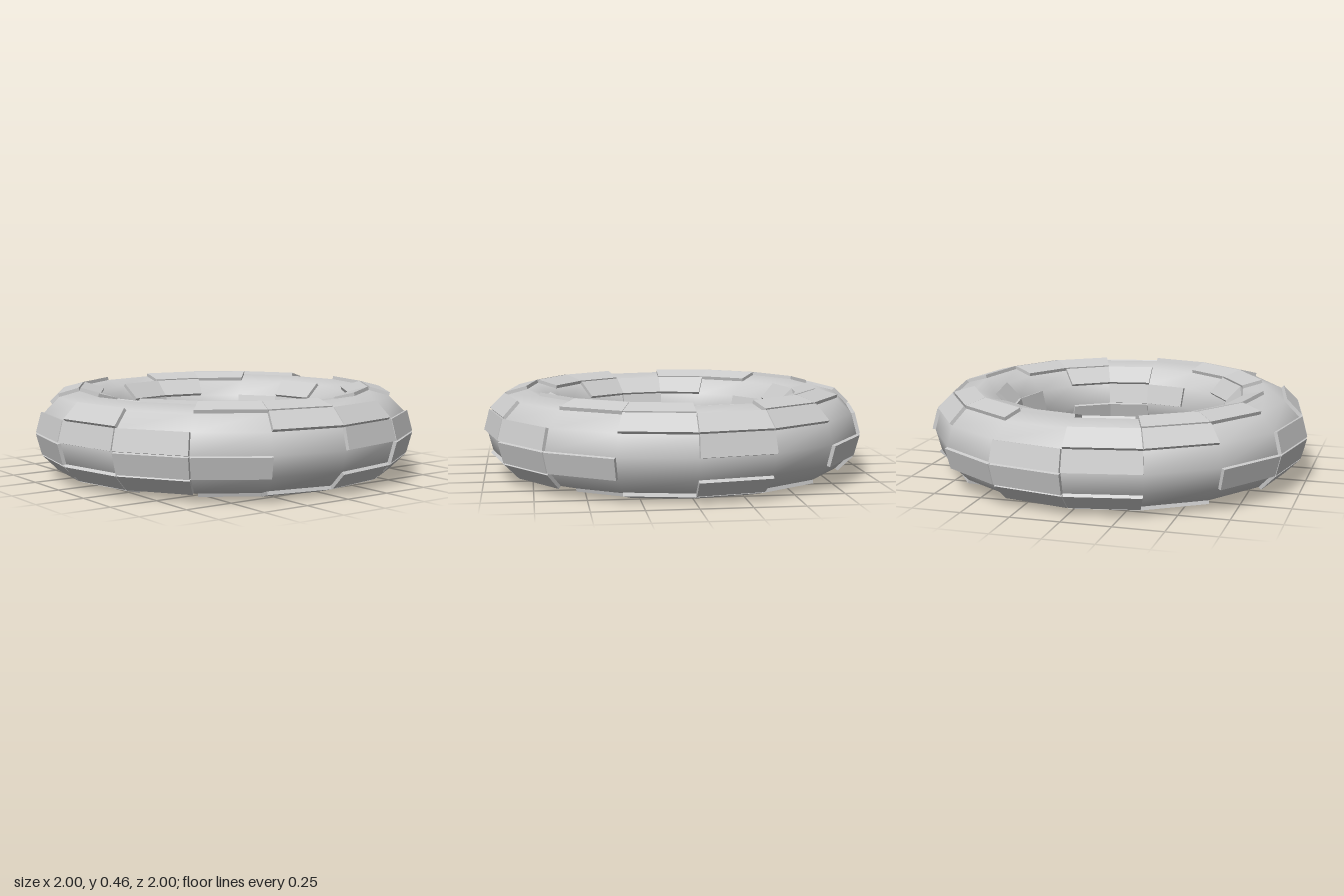
import * as THREE from 'three';
import { mergeGeometries } from 'three/addons/utils/BufferGeometryUtils.js';

const R = 0.77, r = 0.213, T = 0.018;   // ring radius, tube radius, panel thickness
const N = 16, M = 12;                   // segments around the ring and the tube
const MID = 0.23;                       // height of the ring's centre line

// Corner of the ring's grid: i counts around the ring, j around the tube.
function corner(i, j) {
  const u = (i / N) * Math.PI * 2, v = (j / M) * Math.PI * 2;
  const d = R + r * Math.cos(v);
  return new THREE.Vector3(d * Math.cos(u), MID + r * Math.sin(v), d * Math.sin(u));
}

// Flat plate standing on one grid cell, raised along the cell's normal.
function panel(i, j) {
  const low = [corner(i, j), corner(i, j + 1), corner(i + 1, j + 1), corner(i + 1, j)];
  const normal = low[2].clone().sub(low[0]).cross(low[3].clone().sub(low[1])).normalize();
  const high = low.map((p) => p.clone().addScaledVector(normal, T));
  const points = [];
  const quad = (a, b, c, d) => [a, b, c, a, c, d].forEach((p) => points.push(p));
  quad(...high);
  for (let k = 0; k < 4; k++) {
    const n = (k + 1) % 4;
    quad(low[k], low[n], high[n], high[k]);
  }
  const geometry = new THREE.BufferGeometry().setFromPoints(points);
  geometry.computeVertexNormals();
  return geometry;
}

// Panels follow concentric diamonds, two cells wide with two cells between.
function isRaised(i, j) {
  const around = Math.abs(i - 7);
  const across = Math.min(j + 1, Math.abs(11 - j));
  const step = (around + across) % 4;
  return step === 1 || step === 2;
}

export function createModel() {
  const group = new THREE.Group();
  group.name = 'panelledRing';

  // Smooth ring body
  const body = new THREE.TorusGeometry(R, r, M, N);
  body.rotateX(Math.PI / 2);
  body.translate(0, MID, 0);
  const ring = new THREE.Mesh(body, new THREE.MeshStandardMaterial({ color: 0xcccccc }));
  ring.name = 'ring';
  group.add(ring);

  // Raised plates
  const plates = [];
  for (let i = 0; i < N; i++) {
    for (let j = 0; j < M; j++) if (isRaised(i, j)) plates.push(panel(i, j));
  }
  const panels = new THREE.Mesh(
    mergeGeometries(plates),
    new THREE.MeshStandardMaterial({ color: 0xcccccc, flatShading: true })
  );
  panels.name = 'raisedPanels';
  group.add(panels);

  return group;
}
